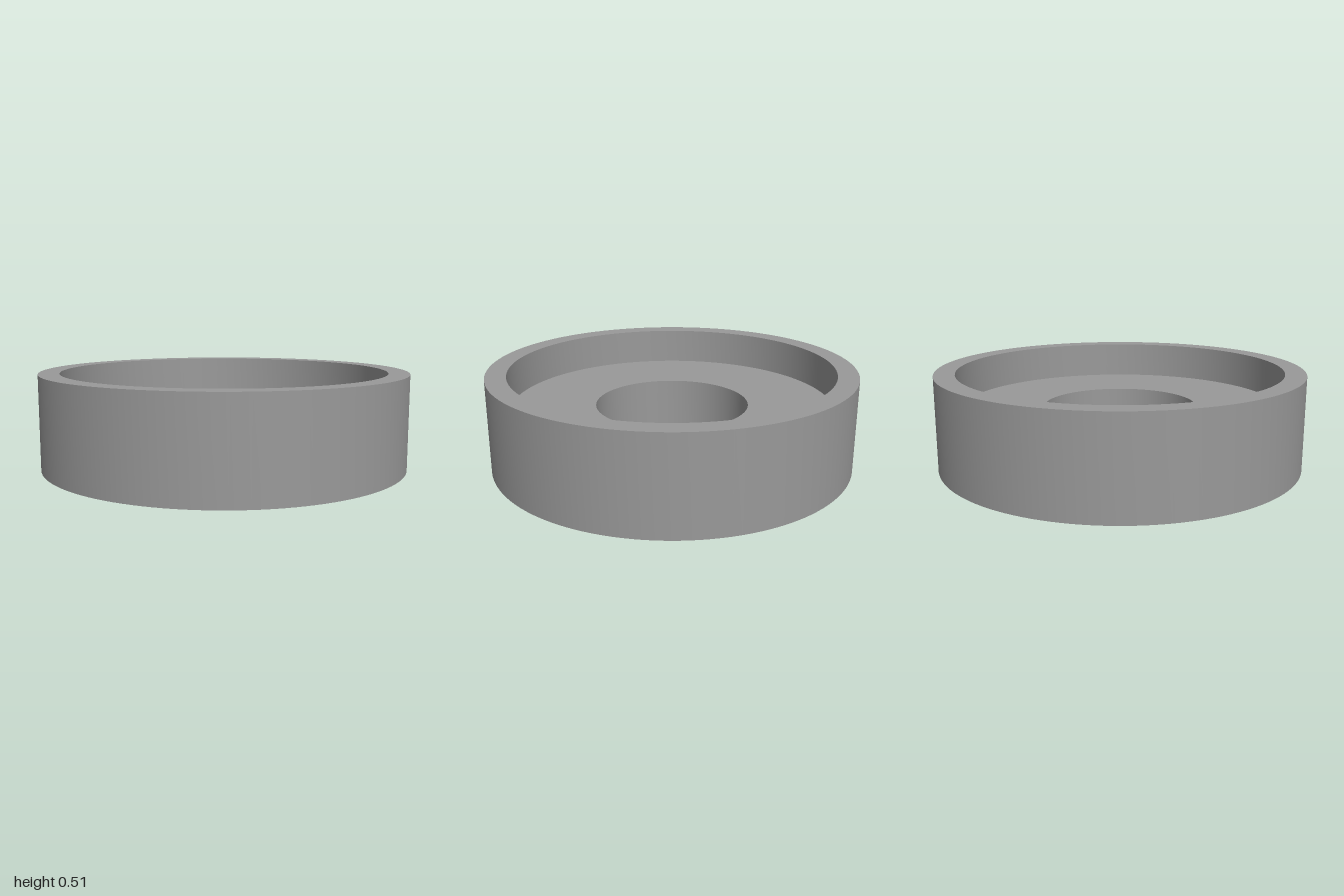
import * as THREE from 'three';
import { toCreasedNormals } from 'three/addons/utils/BufferGeometryUtils.js';

const HEIGHT = 0.51;
const FLOOR = 0.305;
const OUTER = 1;
const RECESS = 0.888;
const BORE = 0.42;

export function createModel() {
  const group = new THREE.Group();
  group.name = 'recessedRing';

  const grey = new THREE.MeshStandardMaterial({ color: 0x999999 });
  grey.name = 'grey';

  // Closed cross-section: underside, outer wall, rim, recess wall, recess floor, bore
  const profile = [
    [BORE, 0],
    [OUTER, 0],
    [OUTER, HEIGHT],
    [RECESS, HEIGHT],
    [RECESS, FLOOR],
    [BORE, FLOOR],
    [BORE, 0],
  ].map(([r, y]) => new THREE.Vector2(r, y));

  // Smooth round walls with sharp edges between the faces
  const geometry = toCreasedNormals(new THREE.LatheGeometry(profile, 128), Math.PI / 6);
  const ring = new THREE.Mesh(geometry, grey);
  ring.name = 'ringBody';
  group.add(ring);

  return group;
}
